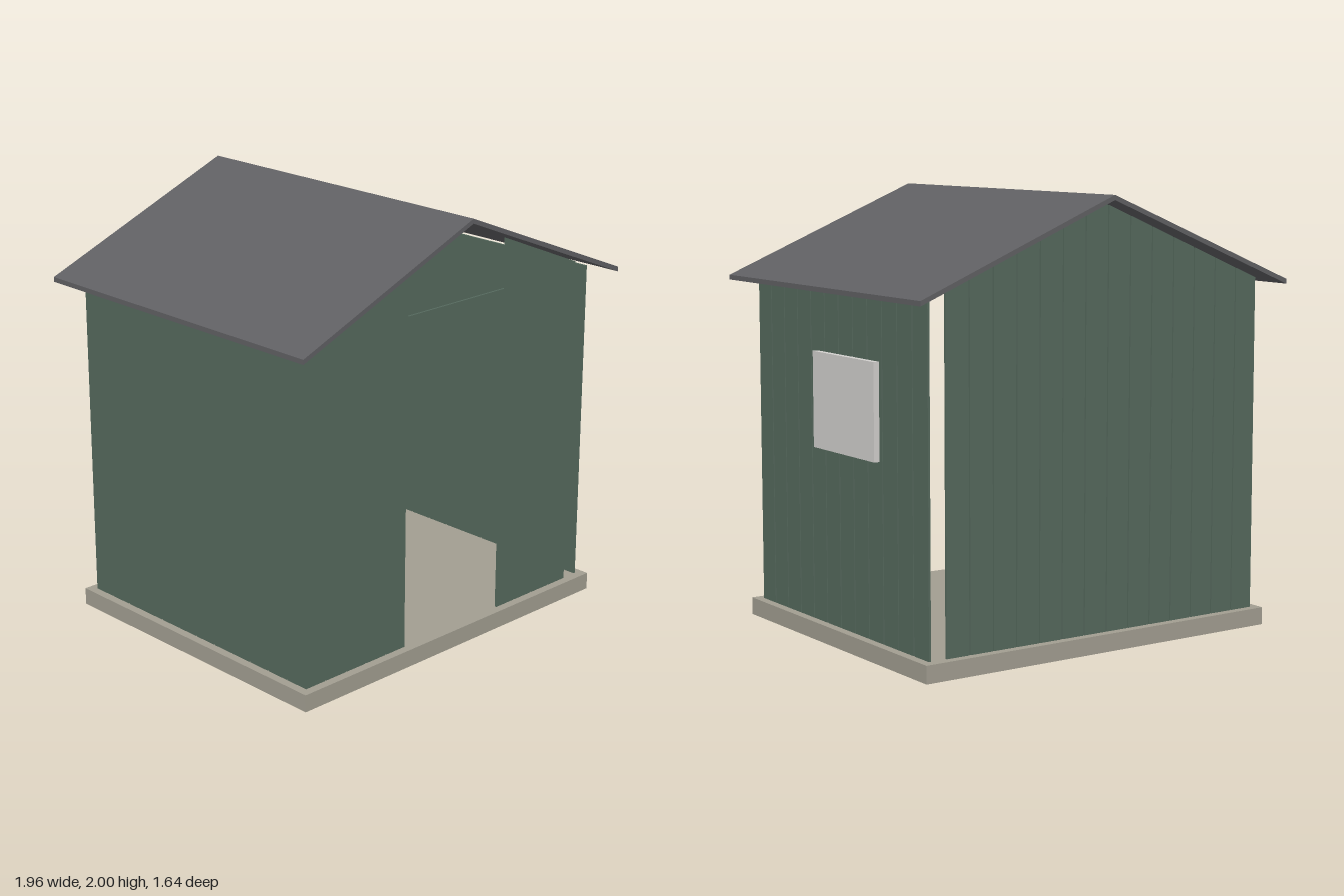
import * as THREE from 'three';

const green = new THREE.MeshStandardMaterial({ color: 0x55695d });
green.name = 'green planks';
const slate = new THREE.MeshStandardMaterial({ color: 0x606063 });
slate.name = 'grey roofing';
const stone = new THREE.MeshStandardMaterial({ color: 0xa29e91 });
stone.name = 'pale base';
const pane = new THREE.MeshStandardMaterial({ color: 0xd2d0cd });
pane.name = 'light window';

const STEP = 0.12, GAP = 0.006, THICK = 0.01;
const FLOOR = 0.08, HALF_X = 0.88, HALF_Z = 0.72, EAVE = 1.605;
const DOOR_LEFT = -0.28, DOOR_RIGHT = 0.32;

// height of the gable planks under the roof slope
const gableHeight = (x) => 1.972 - 0.417 * Math.abs(x);

function addBox(parent, name, material, [w, h, d], [x, y, z]) {
  const mesh = new THREE.Mesh(new THREE.BoxGeometry(w, h, d), material);
  mesh.name = name;
  mesh.position.set(x, y, z);
  parent.add(mesh);
}

function extrude(points, depth, material, name) {
  const shape = new THREE.Shape(points.map(([x, y]) => new THREE.Vector2(x, y)));
  const geometry = new THREE.ExtrudeGeometry(shape, { depth, bevelEnabled: false });
  geometry.translate(0, 0, -depth / 2);
  const mesh = new THREE.Mesh(geometry, material);
  mesh.name = name;
  return mesh;
}

// gable wall of upright planks with sloped tops, leaving the last corner open
function gableWall(name, z, hasDoor) {
  const wall = new THREE.Group();
  wall.name = name;
  for (let i = 0; i < 14; i++) {
    const x0 = -HALF_X + i * STEP, x1 = x0 + STEP - GAP;
    const mid = (x0 + x1) / 2;
    if (hasDoor && mid > DOOR_LEFT && mid < DOOR_RIGHT) continue;
    const plank = extrude(
      [[x0, FLOOR], [x1, FLOOR], [x1, gableHeight(x1)], [x0, gableHeight(x0)]],
      THICK, green, 'gablePlank');
    plank.position.z = z;
    wall.add(plank);
  }
  return wall;
}

// side wall of equal upright planks
function sideWall(name, x) {
  const wall = new THREE.Group();
  wall.name = name;
  const h = EAVE - FLOOR;
  for (let i = 0; i < 12; i++) {
    const z = -HALF_Z + (i + 0.5) * STEP;
    addBox(wall, 'sidePlank', green, [THICK, h, STEP - GAP], [x, FLOOR + h / 2, z]);
  }
  return wall;
}

export function createModel() {
  const shed = new THREE.Group();
  shed.name = 'gardenShed';

  // floor slab
  addBox(shed, 'base', stone, [1.84, FLOOR, 1.52], [0, FLOOR / 2, 0]);

  // walls
  const wallX = HALF_X - THICK / 2, wallZ = HALF_Z - THICK / 2;
  shed.add(gableWall('frontWall', wallZ, true));
  shed.add(gableWall('backWall', -wallZ, false));
  shed.add(sideWall('leftWall', wallX));
  shed.add(sideWall('rightWall', -wallX));

  // bar over the open doorway
  addBox(shed, 'doorLintel', green, [DOOR_RIGHT - DOOR_LEFT, 0.038, THICK],
    [(DOOR_LEFT + DOOR_RIGHT) / 2, 1.59, wallZ]);

  // window panel on one side wall
  addBox(shed, 'window', pane, [0.03, 0.43, 0.515], [0.892, 1.087, -0.078]);

  // pitched roof with thin overhanging slopes
  shed.add(extrude(
    [[-0.978, 1.578], [0, 1.978], [0.978, 1.578], [0.978, 1.6], [0, 2], [-0.978, 1.6]],
    1.64, slate, 'roof'));

  return shed;
}
